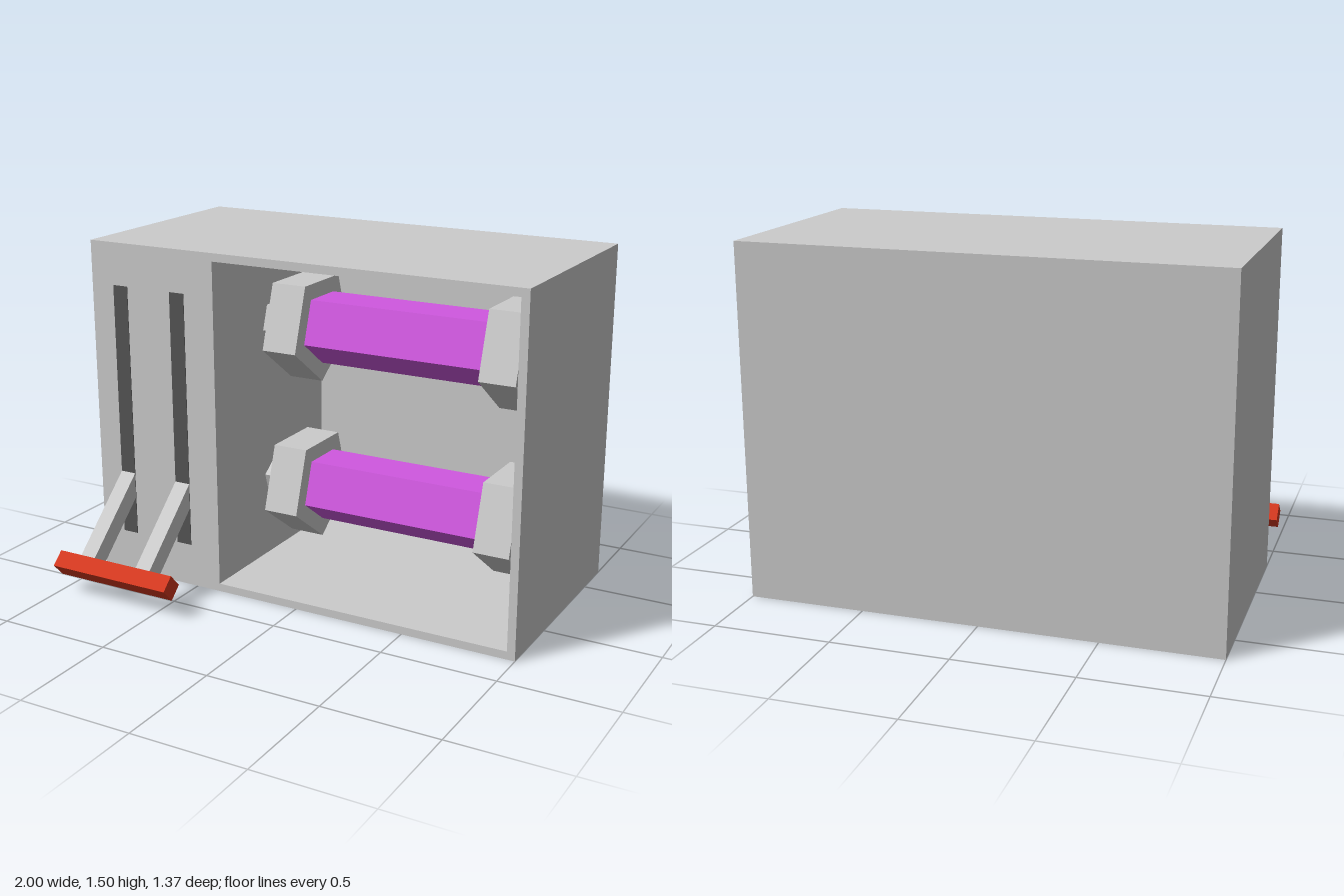
import * as THREE from 'three';

const mat = (color) => new THREE.MeshStandardMaterial({ color, flatShading: true });
const grey = mat(0xcccccc);
const dark = mat(0x555555);
const purple = mat(0xd058e0);
const red = mat(0xd4381f);

function add(parent, name, geometry, material, x = 0, y = 0, z = 0) {
  const mesh = new THREE.Mesh(geometry, material);
  mesh.name = name;
  mesh.position.set(x, y, z);
  parent.add(mesh);
  return mesh;
}

function rectangle(Kind, x0, y0, x1, y1) {
  return new Kind([[x0, y0], [x1, y0], [x1, y1], [x0, y1]].map(([x, y]) => new THREE.Vector2(x, y)));
}

// Five-sided bar lying along x, one corner pointing down (or up)
function pentagonBar(radius, length, pointUp = false) {
  const start = pointUp ? Math.PI / 2 : -Math.PI / 2;
  return new THREE.CylinderGeometry(radius, radius, length, 5, 1, false, start).rotateZ(Math.PI / 2);
}

// Axle, drum and a collar at each end
function roller(name, y, axlePointUp) {
  const group = new THREE.Group();
  group.name = name;
  group.position.set(0.28, y, -0.17);
  for (const side of [-1, 1]) {
    add(group, 'collar', pentagonBar(0.249, 0.16), grey, side * 0.5);
    add(group, 'axleEnd', pentagonBar(0.097, 0.105, axlePointUp), grey, side * 0.6275 + 0.01);
  }
  add(group, 'drum', pentagonBar(0.166, 0.84), purple);
  return group;
}

export function createModel() {
  const model = new THREE.Group();

  // Cabinet with an open compartment, closed by a back panel
  const outline = rectangle(THREE.Shape, -1, 0, 1, 1.5);
  outline.holes.push(rectangle(THREE.Path, -0.385, 0.035, 0.965, 1.465));
  add(model, 'cabinet', new THREE.ExtrudeGeometry(outline, { depth: 0.915, bevelEnabled: false }), grey, 0, 0, -0.6);
  add(model, 'backPanel', new THREE.BoxGeometry(2, 1.5, 0.085), grey, 0, 0.75, -0.6425);

  model.add(roller('upperRoller', 1.12, false), roller('lowerRoller', 0.389, true));

  // Lever: two sloping arms joined by a handle, pivoted at the handle
  const lever = new THREE.Group();
  lever.name = 'lever';
  lever.position.set(0, 0.128, 0.628);
  lever.rotation.x = 0.75;
  add(lever, 'handle', new THREE.BoxGeometry(0.58, 0.082, 0.076), red, -0.71);
  model.add(lever);

  for (const x of [-0.853, -0.565]) {
    add(model, 'slot', new THREE.BoxGeometry(0.072, 1.125, 0.01), dark, x, 0.7525, 0.312);
    add(lever, 'arm', new THREE.BoxGeometry(0.072, 0.082, 0.47), grey, x, 0, -0.273);
  }
  return model;
}
